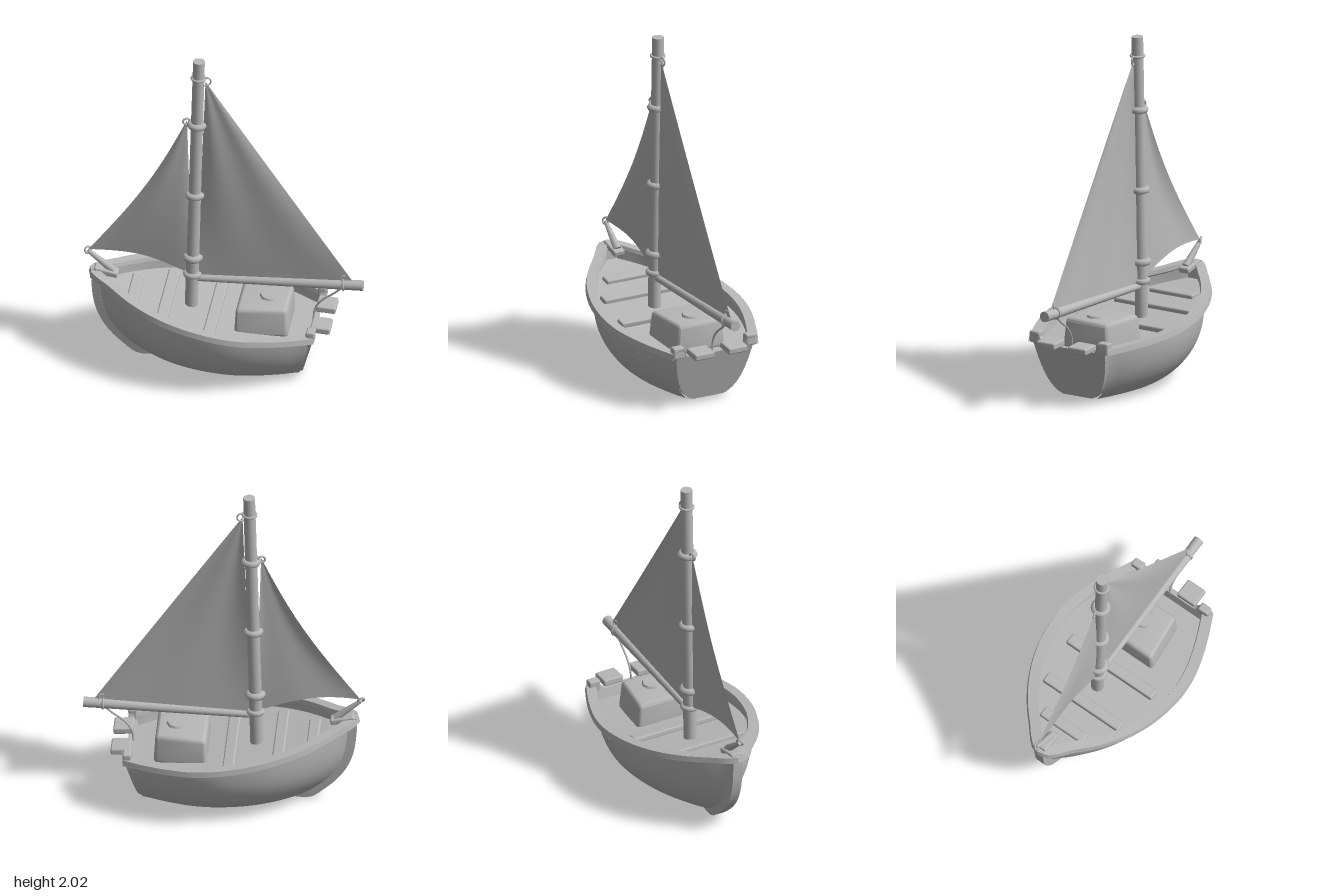
import * as THREE from 'three';
import { toCreasedNormals } from 'three/addons/utils/BufferGeometryUtils.js';
import { RoundedBoxGeometry } from 'three/addons/geometries/RoundedBoxGeometry.js';

const V = (x, y, z = 0) => new THREE.Vector3(x, y, z);
const lerp = THREE.MathUtils.lerp;

// Hull lines, bow to stern
const HALF = [0.012, 0.13, 0.235, 0.31, 0.36, 0.388, 0.398, 0.385, 0.35, 0.3, 0.24];
const SHEER = [0.515, 0.487, 0.46, 0.437, 0.417, 0.398, 0.38, 0.363, 0.35, 0.337, 0.327];
const line = (table) => {
  const curve = new THREE.SplineCurve(table.map((v, i) => new THREE.Vector2(i, v)));
  return (s) => curve.getPoint(s).y;
};
const half = line(HALF), sheer = line(SHEER);
const stemX = (t) => -0.74 + 0.25 * (1 - t) ** 3.2;
const sternX = (t) => 0.455 + 0.09 * t;
const fullness = (t) => 0.5 + 0.5 * (1 - (1 - t) ** 2.5) ** 0.8;
const hullPoint = (s, t, side) =>
  V(lerp(stemX(t), sternX(t), s), sheer(s) * t, side * half(s) * fullness(t));

// Surface from a rule over u, v in 0..1
function grid(nu, nv, rule) {
  const pos = [], index = [];
  for (let i = 0; i <= nu; i++) for (let j = 0; j <= nv; j++) pos.push(...rule(i / nu, j / nv).toArray());
  for (let i = 0; i < nu; i++) for (let j = 0; j < nv; j++) {
    const a = i * (nv + 1) + j, b = a + nv + 1;
    index.push(a, b, a + 1, b, b + 1, a + 1);
  }
  const g = new THREE.BufferGeometry();
  g.setAttribute('position', new THREE.Float32BufferAttribute(pos, 3));
  g.setIndex(index);
  g.computeVertexNormals();
  return g;
}

// Sweep a closed (outward, up) profile along a curve
function sweep(curve, profile, steps, up) {
  const n = profile.length;
  return toCreasedNormals(grid(steps, n, (u, v) => {
    const [o, h] = profile[Math.round(v * n) % n];
    const side = curve.getTangentAt(u).cross(up).normalize();
    return curve.getPointAt(u).addScaledVector(side, o).addScaledVector(up, h);
  }), 0.7);
}

export function createModel() {
  const model = new THREE.Group();
  model.name = 'sailboat';
  const grey = new THREE.MeshStandardMaterial({ color: 0xb8b8b8, side: THREE.DoubleSide });
  grey.name = 'grey';
  const add = (name, geometry) => {
    const m = new THREE.Mesh(geometry, grey);
    m.name = name;
    model.add(m);
    return m;
  };
  const box = (name, size, at, r = 0.01) => {
    const m = add(name, new RoundedBoxGeometry(...size, 2, r));
    m.position.set(...at);
    return m;
  };
  const pole = (name, a, b, ra, rb, sides = 16) => {
    const d = b.clone().sub(a);
    const m = add(name, new THREE.CylinderGeometry(rb, ra, d.length(), sides));
    m.position.copy(a).addScaledVector(d, 0.5);
    m.quaternion.setFromUnitVectors(V(0, 1, 0), d.normalize());
    return m;
  };
  const ring = (name, at, axis, r, tube) => {
    const m = add(name, new THREE.TorusGeometry(r, tube, 8, 20));
    m.position.copy(at);
    m.quaternion.setFromUnitVectors(V(0, 0, 1), axis.clone().normalize());
    return m;
  };
  const rope = (name, pts, r = 0.006) =>
    add(name, new THREE.TubeGeometry(new THREE.CatmullRomCurve3(pts), 20, r, 6));

  // Hull sides, bottom and deck
  for (const side of [1, -1])
    add(side > 0 ? 'hullSideFront' : 'hullSideBack', grid(40, 16, (u, v) => hullPoint(u, v ** 1.5, side)));
  add('hullBottom', grid(40, 2, (u, v) => hullPoint(u, 0, v * 2 - 1)));
  const deckT = (s) => 1 - 0.08 / sheer(s);
  add('deck', grid(30, 2, (u, v) => hullPoint(u, deckT(u), v * 2 - 1)));

  // Gunwale running round the bow
  const edge = [];
  for (let i = -10; i <= 10; i++) edge.push(hullPoint(Math.abs(i) / 10, 1, i < 0 ? -1 : 1));
  const rim = new THREE.CatmullRomCurve3(edge);
  add('gunwale', sweep(rim, [[0.026, -0.012], [0.02, 0.012], [-0.035, 0.012], [-0.042, -0.02], [0.005, -0.025]]
    .map(([o, h]) => [-o, h]), 80, V(0, 1, 0)));

  // Stem band down the bow
  const stem = [];
  for (let i = 0; i <= 10; i++) stem.push(V(stemX(1 - i / 10), 0.525 * (1 - i / 10) + 0.004));
  stem.push(V(-0.4, 0.004));
  add('stem', sweep(new THREE.CatmullRomCurve3(stem), [[-0.022, -0.03], [-0.022, 0.03], [0.03, 0.035], [0.03, -0.035]]
    .map(([o, h]) => [-o, h]), 30, V(0, 0, 1)));
  box('stemHead', [0.14, 0.035, 0.07], [-0.68, 0.51, 0]).rotation.z = -0.2;

  // Raked transom with raised corners
  const shape = new THREE.Shape();
  shape.moveTo(-0.1, 0.004);
  shape.lineTo(0.1, 0.004);
  shape.bezierCurveTo(0.2, 0.04, 0.23, 0.18, 0.255, 0.355);
  shape.lineTo(0.205, 0.365);
  shape.quadraticCurveTo(0.19, 0.3, 0.15, 0.305);
  shape.lineTo(-0.15, 0.305);
  shape.quadraticCurveTo(-0.19, 0.3, -0.205, 0.365);
  shape.lineTo(-0.255, 0.355);
  shape.bezierCurveTo(-0.23, 0.18, -0.2, 0.04, -0.1, 0.004);
  const transom = new THREE.ExtrudeGeometry(shape, { depth: 0.03, bevelEnabled: false, curveSegments: 10 });
  transom.rotateY(Math.PI / 2);
  const tp = transom.attributes.position;
  for (let i = 0; i < tp.count; i++) tp.setX(i, tp.getX(i) + 0.44 + 0.27 * tp.getY(i));
  transom.computeVertexNormals();
  add('transom', toCreasedNormals(transom, 0.6));
  for (const side of [1, -1]) {
    box('sternPost', [0.05, 0.07, 0.07], [0.54, 0.34, side * 0.235]);
    box('sternBlock', [0.115, 0.04, 0.125], [0.583, 0.328, side * 0.108]).rotation.z = -0.06;
  }

  // Benches
  for (const [x, y, w] of [[-0.515, 0.39, 0.3], [-0.325, 0.36, 0.53], [-0.045, 0.322, 0.6]])
    box('bench', [0.068, 0.035, w], [x, y, 0]).rotation.z = -0.15;

  // Cabin, narrower aft and towards the roof
  const cabin = new RoundedBoxGeometry(0.31, 0.18, 0.4, 4, 0.025);
  const cp = cabin.attributes.position;
  for (let i = 0; i < cp.count; i++) {
    const x = cp.getX(i), h = cp.getY(i) / 0.18 + 0.5;
    cp.setZ(i, cp.getZ(i) * (0.87 - x * 0.6) * (1 - 0.1 * h));
    cp.setX(i, x * (1 - 0.06 * h));
  }
  cabin.computeVertexNormals();
  add('cabin', toCreasedNormals(cabin, 0.8)).position.set(0.24, 0.34, 0);
  const hatch = add('hatch', new THREE.CylinderGeometry(0.055, 0.065, 0.02, 8));
  hatch.position.set(0.27, 0.433, 0);

  // Mast and its hoops
  const foot = V(-0.188, 0.3), top = V(-0.143, 2);
  pole('mast', foot, top, 0.038, 0.034);
  const mastAt = (y) => foot.clone().lerp(top, (y - 0.3) / 1.7);
  const axis = top.clone().sub(foot);
  for (const [y, tube] of [[0.54, 0.017], [0.655, 0.022], [1.085, 0.02], [1.565, 0.02], [1.885, 0.008]])
    ring('mastHoop', mastAt(y), axis, 0.038, tube);

  // Boom and bowsprit
  pole('boom', V(-0.15, 0.512), V(0.808, 0.553), 0.02, 0.031);
  ring('boomHoop', V(0.695, 0.55), V(1, 0.04, 0), 0.031, 0.007);
  pole('bowsprit', V(-0.785, 0.635), V(-0.64, 0.515), 0.012, 0.024, 8);

  // Mainsail
  const head = V(-0.105, 1.865), clew = V(0.745, 0.58), tack = V(-0.155, 0.535);
  add('mainsail', grid(28, 28, (u, v) => {
    const p = tack.clone().lerp(clew, v).lerp(head, u);
    p.z = 0.022 * Math.sin(Math.PI * v) * Math.sin(Math.PI * u) + 0.014 * Math.sin(v * 9) * (1 - u) * u * 2;
    return p;
  }));

  // Jib with an arched foot and a hollow leading edge
  const jibHead = V(-0.212, 1.59), jibTack = V(-0.783, 0.645), jibClew = V(-0.18, 0.53);
  add('jib', grid(24, 24, (u, v) => {
    const p = jibTack.clone().lerp(jibClew, v);
    p.y += 0.05 * Math.sin(Math.PI * v) * (1 - u);
    p.lerp(jibHead, u);
    p.x += 0.045 * Math.sin(Math.PI * u) * (1 - v);
    p.z = 0.022 * Math.sin(Math.PI * v) * Math.sin(Math.PI * u) + 0.012 * Math.sin(v * 8) * (1 - u) * (u + 0.2);
    return p;
  }));

  // Rigging loops and ropes
  ring('mainHeadLoop', V(-0.1, 1.865), V(0.3, 0, 1), 0.026, 0.005);
  ring('jibHeadLoop', V(-0.215, 1.58), V(0.3, 0, 1), 0.02, 0.006);
  ring('jibTackLoop', V(-0.785, 0.64), V(0.5, 0.5, 1), 0.019, 0.006);
  ring('clewLoop', V(0.7, 0.59), V(0.3, 0, 1), 0.02, 0.005);
  rope('mainSheet', [V(0.69, 0.53), V(0.64, 0.485), V(0.57, 0.43), V(0.53, 0.37), V(0.52, 0.3)]);
  return model;
}
